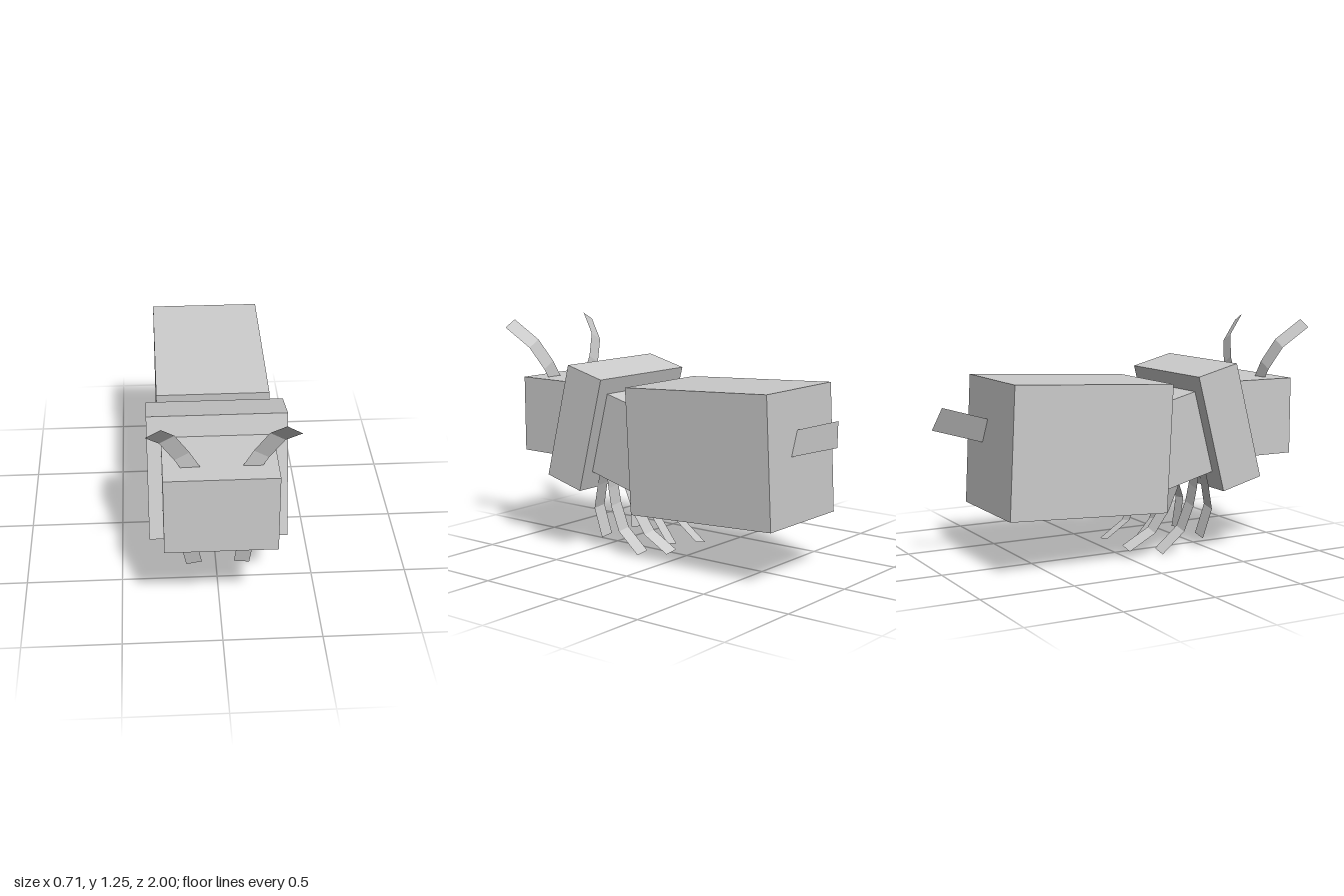
import * as THREE from 'three';

const solid = new THREE.MeshStandardMaterial({ color: 0xcccccc, flatShading: true });
const thin = new THREE.MeshStandardMaterial({ color: 0xcccccc, flatShading: true, side: THREE.DoubleSide });

function box(name, size, position, tilt = 0) {
  const mesh = new THREE.Mesh(new THREE.BoxGeometry(...size), solid);
  mesh.name = name;
  mesh.position.set(...position);
  mesh.rotation.x = tilt;
  return mesh;
}

// Flat ribbon along a list of centre points; half is the offset to one edge
function ribbon(name, points, half) {
  const positions = [], index = [];
  points.forEach(([x, y, z], i) => {
    positions.push(x - half[0], y - half[1], z - half[2], x + half[0], y + half[1], z + half[2]);
    if (i > 0) {
      const a = 2 * i - 2;
      index.push(a, a + 1, a + 2, a + 1, a + 3, a + 2);
    }
  });
  const geometry = new THREE.BufferGeometry();
  geometry.setAttribute('position', new THREE.Float32BufferAttribute(positions, 3));
  geometry.setIndex(index);
  geometry.computeVertexNormals();
  const mesh = new THREE.Mesh(geometry, thin);
  mesh.name = name;
  return mesh;
}

export function createModel() {
  const group = new THREE.Group();

  // Body blocks
  group.add(
    box('head', [0.55, 0.415, 0.42], [-0.005, 0.728, 0.735]),
    box('collar', [0.69, 0.64, 0.242], [-0.005, 0.699, 0.506], -0.255),
    box('thorax', [0.54, 0.452, 0.46], [-0.005, 0.652, 0.3], -0.255),
    box('abdomen', [0.58, 0.681, 0.902], [-0.005, 0.625, -0.28], 0.05)
  );

  // Stinger, a leaning flat blade
  group.add(ribbon('stinger', [[0.055, 0.71, -0.7], [0.066, 0.793, -0.983]], [0.03, -0.06, -0.017]));

  // Antennae curling up and forward
  const antennaPath = [[0.128, 0.9, 0.83], [0.186, 1.002, 0.837], [0.255, 1.125, 0.88], [0.318, 1.235, 1.0]];
  for (const [side, s] of [['left', 1], ['right', -1]]) {
    group.add(ribbon(side + 'Antenna', antennaPath.map(([x, y, z]) => [s * x, y, z]), [s * 0.036, -0.02, 0]));
  }

  // Legs: side profile [y, z], then [x at ground, outward slope] for each side
  const legs = [
    { name: 'Front', path: [[0.46, 0.43], [0.37, 0.462], [0.235, 0.5], [0.07, 0.463]], left: [0.124, 0.11], right: [0.107, 0.18] },
    { name: 'Middle', path: [[0.47, 0.37], [0.37, 0.37], [0.27, 0.363], [0.13, 0.325], [0.012, 0.205]], left: [0.13, 0.13], right: [0.12, 0.21] },
    { name: 'Back', path: [[0.45, 0.265], [0.38, 0.25], [0.26, 0.213], [0.14, 0.145], [0.052, 0.0]], left: [0.126, 0.13], right: [0.114, 0.21] }
  ];
  for (const leg of legs) {
    for (const [side, s] of [['left', 1], ['right', -1]]) {
      const [foot, slope] = leg[side];
      const points = leg.path.map(([y, z]) => [s * (foot + slope * y), y, z]);
      group.add(ribbon(side + leg.name + 'Leg', points, [s * 0.041, -0.041 * slope, 0]));
    }
  }
  return group;
}
